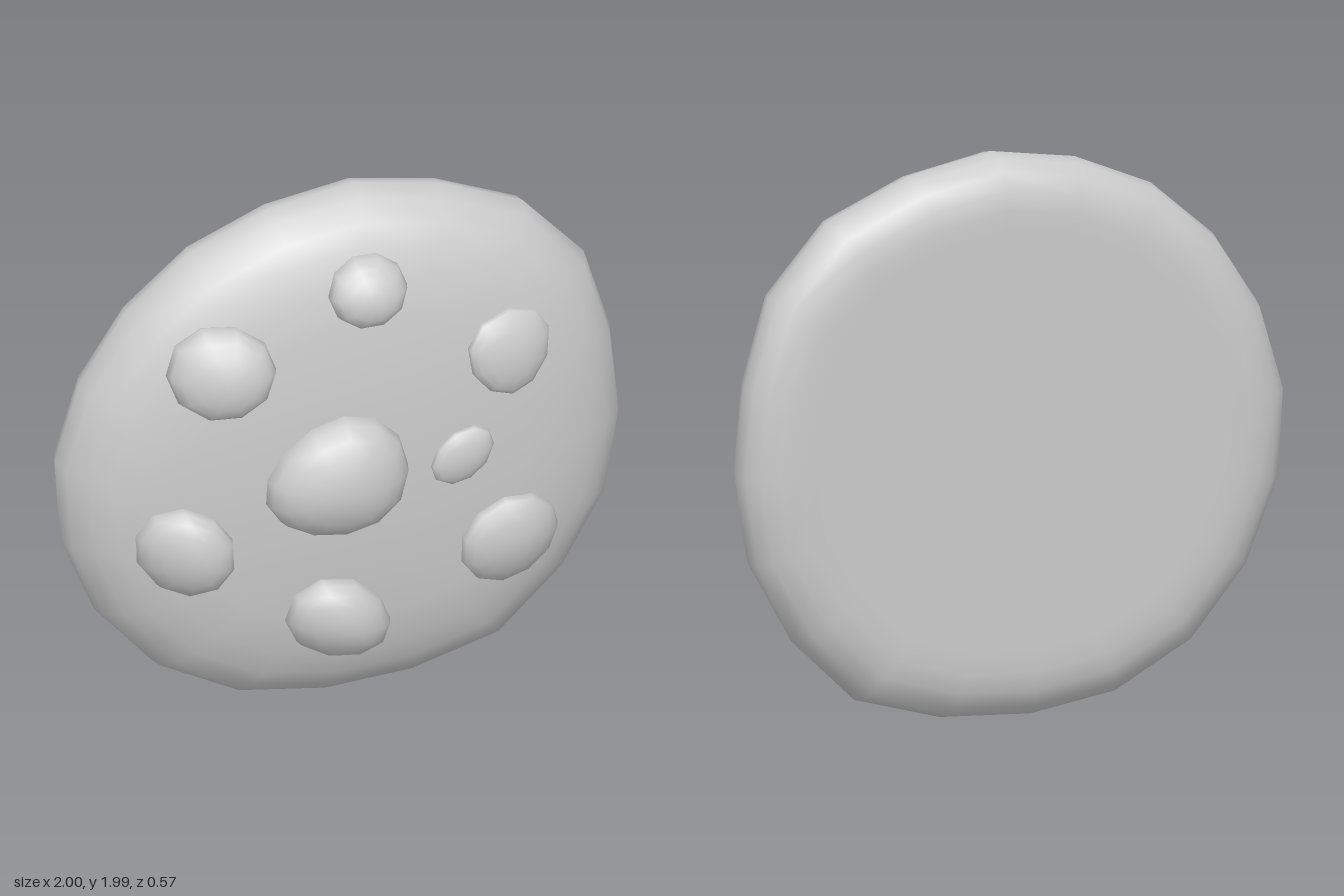
import * as THREE from 'three';

const material = new THREE.MeshStandardMaterial({ color: 0xcccccc });

// Slightly irregular rim: radii at even angles, counter-clockwise from the top
const RIM_RADII = [0.99, 0.97, 0.97, 0.97, 0.98, 1, 1.01, 1.02, 1.03, 1.02,
  1, 1.01, 1.05, 1.03, 1.02, 1, 1, 1.04, 1.04, 1];

// Bulging front of the biscuit: z at a share r of the rim radius
const frontZ = (r) => -0.15 + 0.29 * Math.sqrt(Math.max(0, 1 - r ** 3));
const surfaceZ = (x, y) => frontZ(Math.hypot(x, y - 1));

// Closed smooth skin: scaled copies of an outline from a front pole to a back pole.
// Each profile entry is [outline scale, value], and zAt turns the value into z.
function loft(name, outline, [cx, cy], profile, zAt) {
  const n = outline.length, rings = profile.slice(1, -1), pos = [], index = [];
  const add = (x, y, value) => pos.push(x, y, zAt(x, y, value));
  add(cx, cy, profile[0][1]);
  for (const [s, v] of rings) for (const [x, y] of outline) add(cx + x * s, cy + y * s, v);
  add(cx, cy, profile[profile.length - 1][1]);
  const last = 1 + (rings.length - 1) * n, pole = last + n;
  for (let j = 0; j < n; j++) {
    const k = (j + 1) % n;
    index.push(0, 1 + j, 1 + k, last + j, pole, last + k);
    for (let a = 1; a < last; a += n) {
      const b = a + n;
      index.push(a + j, b + j, b + k, a + j, b + k, a + k);
    }
  }
  const geometry = new THREE.BufferGeometry();
  geometry.setAttribute('position', new THREE.Float32BufferAttribute(pos, 3));
  geometry.setIndex(index);
  geometry.computeVertexNormals();
  const mesh = new THREE.Mesh(geometry, material);
  mesh.name = name;
  return mesh;
}

// Biscuit with a bulging front, a rounded rim and a flat back
function makeBody() {
  const outline = RIM_RADII.map((r, i) => {
    const a = THREE.MathUtils.degToRad(86.5 + i * 360 / RIM_RADII.length);
    return [r * Math.cos(a), r * Math.sin(a)];
  });
  const profile = [0, 0.3, 0.6, 0.75, 0.85, 0.92, 0.98, 1].map((r) => [r, frontZ(r)]);
  for (let i = 1; i <= 4; i++) {
    const t = i * Math.PI / 8;
    profile.push([0.82 + 0.18 * Math.cos(t), -0.15 - 0.135 * Math.sin(t)]);
  }
  profile.push([0.75, -0.285], [0, -0.285]);
  return loft('body', outline, [0, 1], profile, (x, y, z) => z);
}

// Domed chip on an egg-shaped outline, narrower at its tilted end, sunk into the front
function makeChip({ name, at, peak, size, tilt = 0, egg = 0, sides = 10 }) {
  const c = Math.cos(THREE.MathUtils.degToRad(tilt));
  const s = Math.sin(THREE.MathUtils.degToRad(tilt));
  const outline = Array.from({ length: sides }, (_, i) => {
    const a = i * 2 * Math.PI / sides;
    const u = size[0] * Math.cos(a), v = size[1] * Math.sin(a) * (1 - egg * Math.cos(a));
    return [u * c - v * s, u * s + v * c];
  });
  const dome = [];
  for (let i = 0; i <= 5; i++) {
    const t = i * Math.PI / 10;
    dome.push([Math.sin(t), Math.cos(t)]);
  }
  dome.push([0.9, -0.4], [0, -0.5]);
  const height = peak - surfaceZ(...at);
  return loft(name, outline, at, dome, (x, y, share) => surfaceZ(x, y) + share * height);
}

const CHIPS = [
  { name: 'topChip', at: [0.04, 1.7], peak: 0.17, size: [0.14, 0.125] },
  { name: 'upperRightChip', at: [-0.48, 1.47], peak: 0.185, size: [0.185, 0.17] },
  { name: 'upperLeftChip', at: [0.54, 1.37], peak: 0.155, size: [0.16, 0.155], tilt: -90, egg: 0.15 },
  { name: 'centreChip', at: [-0.09, 1.01], peak: 0.285, size: [0.255, 0.225], tilt: 195, egg: 0.15, sides: 13 },
  { name: 'smallChip', at: [0.36, 1.01], peak: 0.175, size: [0.125, 0.095], tilt: 40 },
  { name: 'lowerLeftChip', at: [0.54, 0.62], peak: 0.175, size: [0.185, 0.18], sides: 11 },
  { name: 'bottomChip', at: [-0.07, 0.42], peak: 0.22, size: [0.205, 0.155], tilt: -38, egg: 0.1 },
  { name: 'lowerRightChip', at: [-0.61, 0.78], peak: 0.195, size: [0.19, 0.16], tilt: -55 },
];

export function createModel() {
  const group = new THREE.Group();
  group.name = 'biscuit';
  group.add(makeBody(), ...CHIPS.map(makeChip));
  return group;
}
